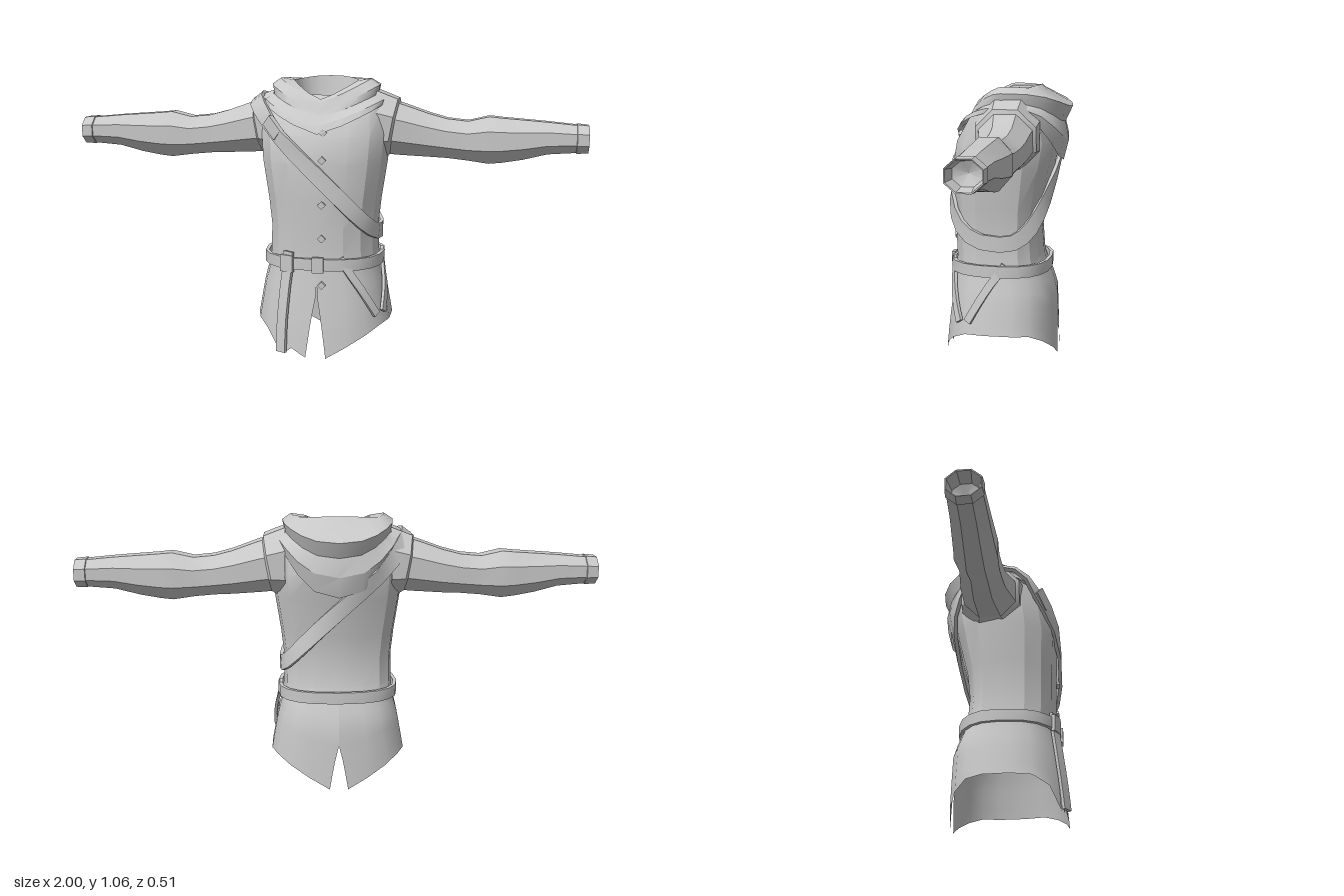
import * as THREE from 'three';
import { toCreasedNormals } from 'three/addons/utils/BufferGeometryUtils.js';

const cloth = new THREE.MeshStandardMaterial({ color: 0xc8c8c8, side: THREE.DoubleSide });
cloth.name = 'grey cloth';

const TAU = Math.PI * 2;
const V = (x, y, z) => new THREE.Vector3(x, y, z);
const bend = (v) => Math.sign(v) * Math.abs(v) ** 0.8; // slightly squared ellipse

// Body outline: height, half width, front depth, back depth
const BODY = [
  [0, 0.272, 0.243, 0.203], [0.12, 0.267, 0.232, 0.2], [0.27, 0.24, 0.213, 0.195],
  [0.34, 0.22, 0.203, 0.165], [0.4, 0.213, 0.2, 0.143], [0.5, 0.211, 0.204, 0.135],
  [0.6, 0.222, 0.206, 0.145], [0.75, 0.245, 0.213, 0.182], [0.85, 0.252, 0.194, 0.205],
  [0.95, 0.243, 0.135, 0.182], [1.0, 0.19, 0.09, 0.13],
];

// Point on the body at angle a (0 = front, quarter turn = +x) and height y
function onBody(a, y, off = 0) {
  let i = 0;
  while (i < BODY.length - 2 && BODY[i + 1][0] < y) i++;
  const p = BODY[i], q = BODY[i + 1];
  const t = THREE.MathUtils.clamp((y - p[0]) / (q[0] - p[0]), 0, 1);
  const [w, f, b] = [1, 2, 3].map((k) => p[k] + (q[k] - p[k]) * t + off);
  const c = bend(Math.cos(a));
  return V(w * bend(Math.sin(a)), y, c * (c > 0 ? f : b));
}

// Skin a list of equally long point rings
function loft(name, rings, closed = true, crease = 0.6) {
  const n = rings[0].length, index = [];
  for (let j = 0; j < rings.length - 1; j++) {
    for (let i = 0; i < (closed ? n : n - 1); i++) {
      const a = j * n + i, b = j * n + (i + 1) % n;
      index.push(a, b, b + n, a, b + n, a + n);
    }
  }
  const g = new THREE.BufferGeometry().setFromPoints(rings.flat());
  g.setIndex(index);
  const mesh = new THREE.Mesh(toCreasedNormals(g, crease), cloth);
  mesh.name = name;
  return mesh;
}

const turn = (n, fn) => Array.from({ length: n }, (_, i) => fn((i / n) * TAU));

// Flat leather band following points, with its face turned away from the body
function band(name, pts, width, thick, closed = false) {
  const n = pts.length;
  const rings = pts.map((p, i) => {
    const prev = closed ? pts[(i + n - 1) % n] : pts[Math.max(0, i - 1)];
    const next = closed ? pts[(i + 1) % n] : pts[Math.min(n - 1, i + 1)];
    const tan = next.clone().sub(prev).normalize();
    const out = V(p.x, Math.max(0, p.y - 0.85) * 2.5, p.z).normalize();
    const side = tan.clone().cross(out).normalize();
    const up = side.clone().cross(tan).normalize();
    return [[-1, -1], [1, -1], [1, 1], [-1, 1]].map(([s, u]) =>
      p.clone().addScaledVector(side, s * width / 2).addScaledVector(up, u * thick / 2));
  });
  if (closed) rings.push(rings[0]);
  else {
    const mid = (r) => Array(4).fill(r[0].clone().add(r[2]).multiplyScalar(0.5));
    rings.unshift(mid(rings[0]));
    rings.push(mid(rings[rings.length - 1]));
  }
  return loft(name, rings, true, 0.5);
}

// Strip between two [angle, height] places on the body
function hanging(name, [a0, y0], [a1, y1], width, off = 0.01) {
  const pts = [];
  for (let i = 0; i <= 6; i++) {
    const t = i / 6;
    pts.push(onBody(a0 + (a1 - a0) * t, y0 + (y1 - y0) * t, off));
  }
  return band(name, pts, width, 0.012);
}

function makeSkirt() {
  // Slits: angle, half opening at the hem, height of the top
  const slits = [[0, 0.09, 0.25], [Math.PI, 0.08, 0.18], [TAU - 0.42, 0.05, 0.25], [TAU, 0.09, 0.25]];
  const group = new THREE.Group();
  group.name = 'skirt';
  for (let k = 0; k < 3; k++) {
    const [a0, o0, t0] = slits[k], [a1, o1, t1] = slits[k + 1];
    const n = Math.max(3, Math.round((a1 - a0) / 0.35));
    const rows = [];
    for (let j = 0; j <= 6; j++) {
      const row = [];
      for (let i = 0; i <= n; i++) {
        const a = a0 + ((a1 - a0) * i) / n;
        const open = i === 0 ? o0 : i === n ? -o1 : 0;
        const top = i === 0 ? t0 : t1;
        let hem = THREE.MathUtils.clamp(0.155 * Math.abs(bend(Math.sin(a + open))) - 0.02, 0, 0.122);
        if (Math.abs(a - slits[2][0]) < 0.01) hem = 0.015;
        const y = 0.36 + ((hem - 0.36) * j) / 6;
        row.push(onBody(a + open * Math.max(0, (top - y) / top), y));
      }
      rows.push(row);
    }
    group.add(loft('skirtPanel', rows, false));
  }
  return group;
}

function makeSleeve(s) {
  // x, centre y, half height, centre z, half depth, outward lean of the top edge
  const stations = [
    [0.2, 0.88, 0.136, -0.028, 0.122, 0], [0.262, 0.872, 0.112, -0.03, 0.115, 0.022],
    [0.27, 0.867, 0.1, -0.031, 0.102, 0.018], [0.3, 0.862, 0.098, -0.033, 0.098, 0.01],
    [0.4, 0.843, 0.085, -0.04, 0.086, 0], [0.47, 0.832, 0.077, -0.038, 0.08, 0],
    [0.55, 0.824, 0.077, -0.034, 0.074, 0], [0.63, 0.828, 0.092, -0.036, 0.08, 0],
    [0.68, 0.828, 0.087, -0.034, 0.076, 0], [0.76, 0.832, 0.077, -0.032, 0.071, 0],
    [0.85, 0.84, 0.062, -0.03, 0.066, 0], [0.955, 0.839, 0.053, -0.028, 0.062, 0],
    [0.957, 0.839, 0.056, -0.028, 0.066, 0], [1.0, 0.838, 0.053, -0.027, 0.062, 0],
    [0.998, 0.838, 0.049, -0.027, 0.058, 0], [0.94, 0.838, 0.04, -0.027, 0.048, 0],
    [0.92, 0.838, 0, -0.027, 0, 0],
  ];
  const rings = stations.map(([x, cy, ry, cz, rz, lean]) => turn(8, (t) => {
    const a = t + Math.PI / 8;
    return V(s * (x + Math.cos(a) * lean), cy + Math.cos(a) * ry * 1.06, cz + Math.sin(a) * rz * 1.06);
  }));
  return loft(s > 0 ? 'leftSleeve' : 'rightSleeve', rings, true, 0.5);
}

function makeCowl() {
  // half width, front z, back z, heights at front, side and back, front point (0 round, 1 wedge)
  const folds = [
    [0.235, 0.2, 0.216, 0.86, 0.965, 0.77, 0.2], [0.238, 0.187, 0.236, 0.89, 0.985, 0.85, 0.3],
    [0.205, 0.155, 0.222, 0.92, 1.0, 0.92, 0.5], [0.212, 0.143, 0.25, 0.94, 1.035, 0.98, 0.6],
    [0.178, 0.128, 0.15, 0.975, 1.058, 1.04, 0.8], [0.125, 0.117, 0.13, 0.985, 1.05, 1.062, 1],
    [0.108, 0.102, 0.115, 0.93, 0.97, 0.98, 1], [0.09, 0.08, 0.09, 0.83, 0.83, 0.83, 0.8],
    [0, 0, 0, 0.82, 0.82, 0.82, 0],
  ];
  return loft('cowl', folds.map(([w, f, b, yf, ys, yb, wedge]) => turn(20, (a) => {
    const c = Math.cos(a), s = Math.sin(a);
    if (c <= 0) return V(w * bend(s), ys + (yb - ys) * Math.abs(c) ** 2.6, bend(c) * b);
    const y = ys + (yf - ys) * (1 - Math.abs(s));
    const depth = THREE.MathUtils.lerp(bend(c), 1 - Math.abs(s) ** 1.4, wedge);
    return V(w * bend(s), y, depth * f);
  })), true, 0.45);
}

// Small box lying on the body surface
function stud(name, a, y, size, roll, off) {
  const m = new THREE.Mesh(new THREE.BoxGeometry(...size), cloth);
  const p = onBody(a, y, off);
  m.position.copy(p);
  m.rotation.set(0, Math.atan2(p.x, p.z) * 0.7, roll);
  m.name = name;
  return m;
}

export function createModel() {
  const g = new THREE.Group();
  g.name = 'tunic';

  // Body, skirt, sleeves and cowl
  const levels = [0.35, 0.4, 0.5, 0.6, 0.75, 0.85, 0.95, 1.0];
  g.add(loft('body', levels.map((y) => turn(16, (a) => onBody(a, y))), true, 0.4));
  g.add(makeSkirt(), makeSleeve(1), makeSleeve(-1), makeCowl());

  // Shoulder strap: slanted loop, lifted over the right shoulder
  const strap = turn(24, (a) => {
    const s = bend(Math.sin(a));
    const lift = Math.max(0, -s - 0.7);
    const y = 0.71 - 0.24 * s;
    const p = onBody(a, Math.min(y, 0.88), 0.01 + lift * 0.03);
    p.y = y + lift * 0.11;
    return p;
  });
  g.add(band('shoulderStrap', strap, 0.06, 0.014, true));
  g.add(stud('strapBuckle', -0.62, 0.88, [0.08, 0.05, 0.02], -0.75, 0.02));

  // Belt with buckle and hanging ends
  g.add(band('belt', turn(20, (a) => onBody(a, 0.365, 0.012)), 0.045, 0.014, true));
  g.add(stud('beltBuckle', 0.01, 0.365, [0.045, 0.06, 0.014], 0, 0.018));
  g.add(hanging('beltEnd', [-0.42, 0.41], [-0.4, 0.02], 0.045, 0.014));
  g.add(hanging('frontHanger', [0.32, 0.39], [0.93, 0.165], 0.03));
  g.add(hanging('sideHanger', [1.65, 0.39], [1.12, 0.17], 0.03));
  g.add(stud('beltLoop', -0.42, 0.365, [0.055, 0.065, 0.015], 0, 0.02));

  // Buttons down the front
  for (const y of [0.865, 0.765, 0.595, 0.465, 0.285]) {
    g.add(stud('button', 0.045, y, [0.022, 0.022, 0.014], Math.PI / 4, 0.003));
  }
  return g;
}
